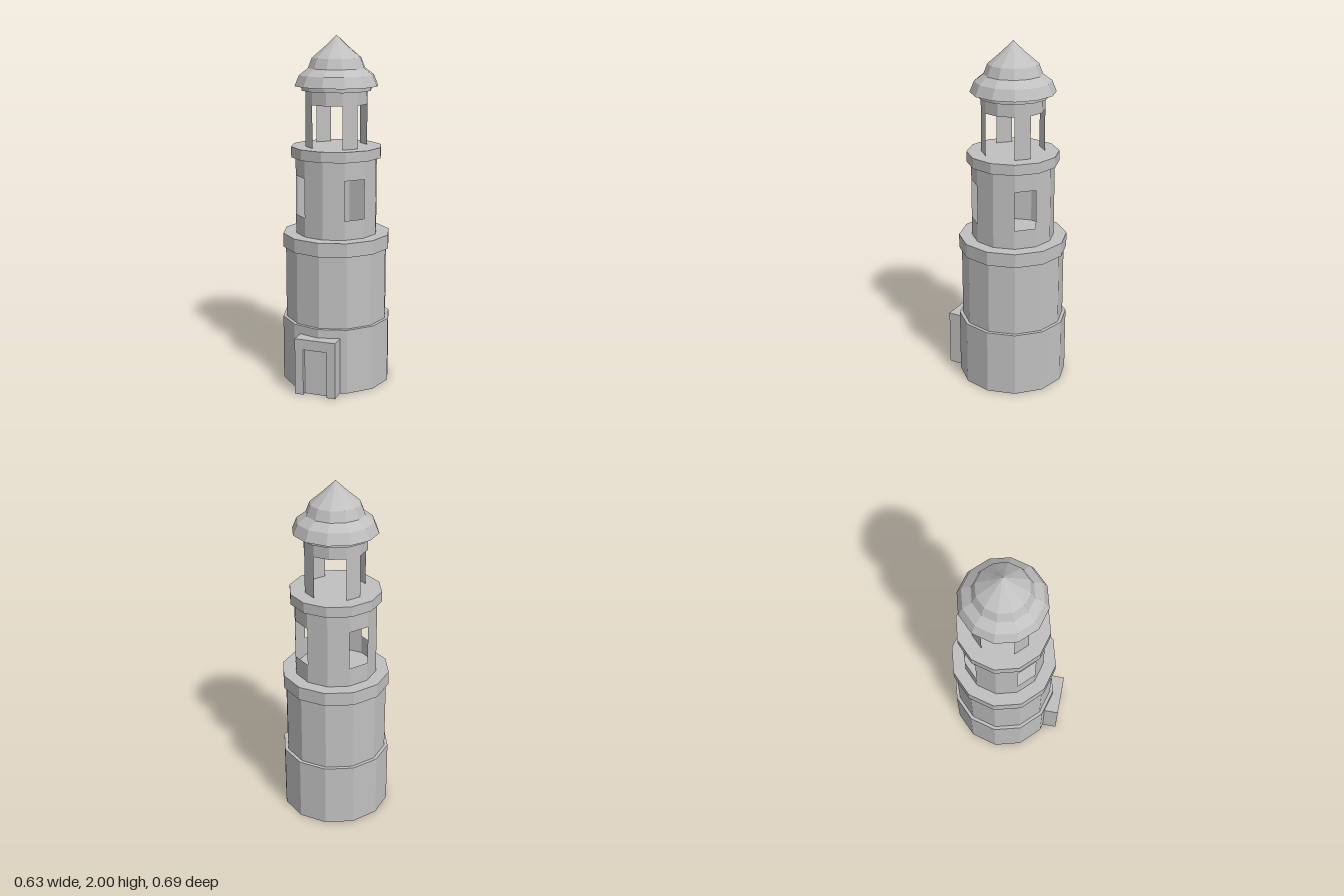
import * as THREE from 'three';

const SIDES = 12;
const AXIS_Z = -0.027; // the tower sits slightly behind the porch
const STEP = Math.PI / 6;

export function createModel() {
  const stone = new THREE.MeshStandardMaterial({ color: 0xc0c0c0 });
  stone.name = 'grey stone';
  stone.flatShading = true;
  stone.side = THREE.DoubleSide;

  const model = new THREE.Group();
  model.name = 'lighthouse';
  const tower = new THREE.Group();
  tower.name = 'tower';
  tower.position.z = AXIS_Z;
  model.add(tower);

  function add(parent, name, geometry, y = 0) {
    const mesh = new THREE.Mesh(geometry, stone);
    mesh.name = name;
    mesh.position.y = y;
    parent.add(mesh);
    return mesh;
  }

  // Closed twelve-sided drum
  const drum = (name, r, y0, y1) =>
    add(tower, name, new THREE.CylinderGeometry(r, r, y1 - y0, SIDES), (y0 + y1) / 2);

  // Thin open wall covering some of the twelve sides
  const wall = (name, r, y0, y1, first = 0, count = SIDES) =>
    add(tower, name, new THREE.CylinderGeometry(r, r, y1 - y0, count, 1, true,
      first * STEP, count * STEP), (y0 + y1) / 2);

  // Main shaft
  drum('base', 0.316, 0, 0.38);
  drum('shaft', 0.296, 0.38, 0.80);
  drum('lowerLedge', 0.311, 0.80, 0.88);

  // Hollow watch room with windows on the four diagonal sides
  wall('roomLowerWall', 0.236, 0.88, 0.99);
  wall('roomUpperWall', 0.236, 1.215, 1.32);
  for (let i = 0; i < 4; i++) wall('roomPier', 0.236, 0.99, 1.215, 2 + i * 3, 2);
  drum('gallery', 0.261, 1.32, 1.38);

  // Open lantern with four thin diagonal posts
  for (let i = 0; i < 4; i++) wall('lanternPost', 0.178, 1.38, 1.62, 1 + i * 3, 1);
  drum('lanternRing', 0.178, 1.62, 1.695);
  drum('roofCollar', 0.2, 1.695, 1.72);

  // Stepped dome roof
  const profile = [[0, 1.72], [0.239, 1.72], [0.214, 1.78], [0.163, 1.818],
    [0.141, 1.875], [0.064, 1.94], [0, 2]].map(([r, y]) => new THREE.Vector2(r, y));
  add(tower, 'roof', new THREE.LatheGeometry(profile, SIDES));

  // Porch: frame with a recessed door
  const porch = new THREE.Group();
  porch.name = 'porch';
  model.add(porch);
  const frame = new THREE.Shape([[-0.12, 0], [-0.07, 0], [-0.07, 0.27], [0.07, 0.27],
    [0.07, 0], [0.12, 0], [0.12, 0.33], [-0.12, 0.33]].map(([x, y]) => new THREE.Vector2(x, y)));
  const frameMesh = add(porch, 'doorFrame',
    new THREE.ExtrudeGeometry(frame, { depth: 0.093, bevelEnabled: false }));
  frameMesh.position.z = 0.25;
  const door = add(porch, 'door', new THREE.BoxGeometry(0.14, 0.27, 0.068), 0.135);
  door.position.z = 0.284;

  return model;
}
